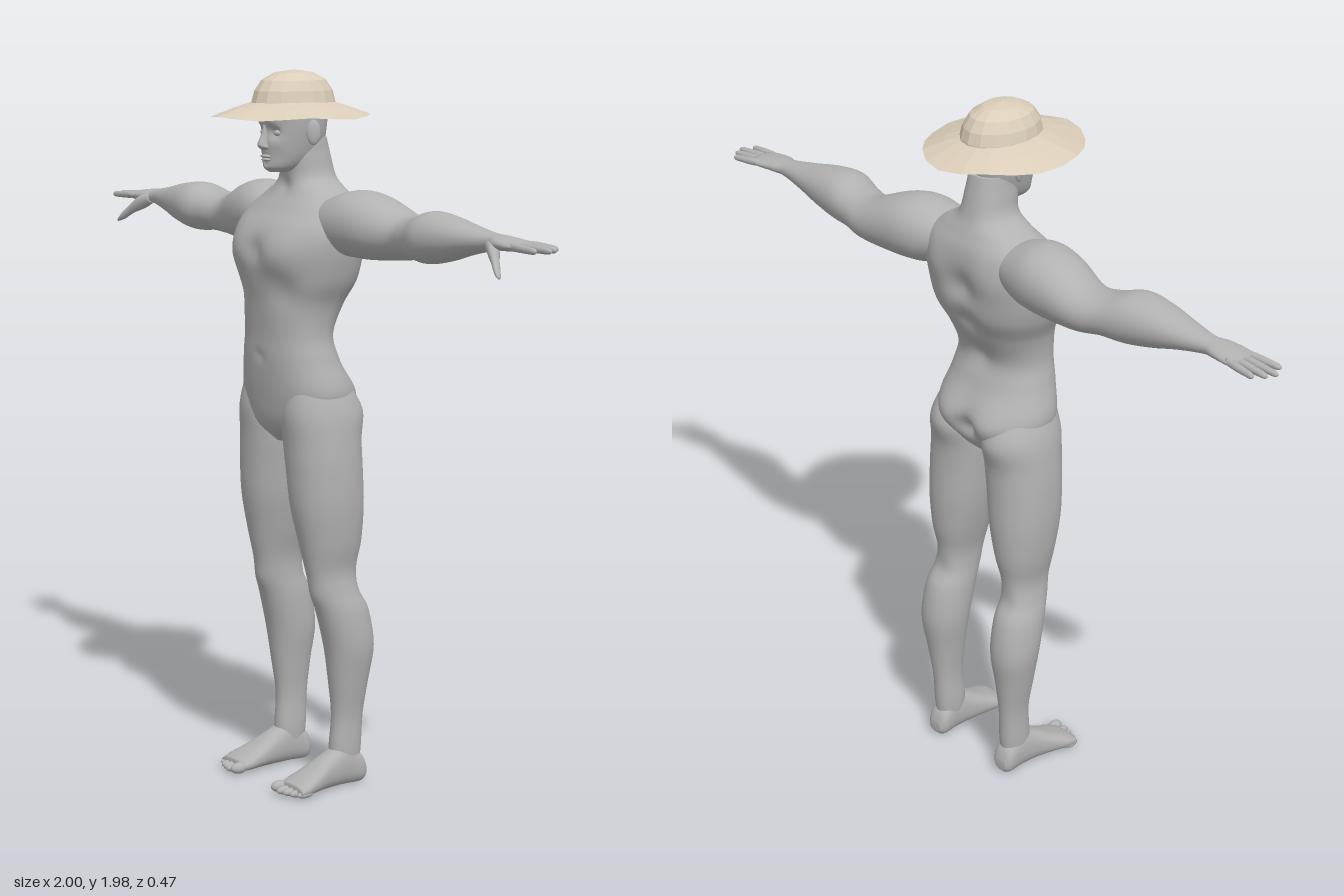
import * as THREE from 'three';

const skin = new THREE.MeshStandardMaterial({ color: 0xb2b2b2 });
skin.name = 'grey skin';
const straw = new THREE.MeshStandardMaterial({ color: 0xdacdb9, side: THREE.DoubleSide, flatShading: true });
straw.name = 'pale straw';

// Where the cross-section directions (a, b) and the running direction t land in x, y, z
const ORDER = { x: (a, b, t) => [t, a, b], y: (a, b, t) => [b, t, a], z: (a, b, t) => [a, b, t] };

const spline = (p0, p1, p2, p3, u) =>
  p1 + 0.5 * u * (p2 - p0 + u * (2 * p0 - 5 * p1 + 4 * p2 - p3 + u * (3 * (p1 - p2) + p3 - p0)));

// Skin through sections [t, a0, a1, b0, b1]; bumps [x, y, z, radius, dz] push the surface along z on both sides
function loft(axis, sections, { seg = 32, steps = 5, power = 2, bumps = [] } = {}) {
  const rows = [];
  const n = sections.length;
  for (let i = 0; i < n - 1; i++) {
    const [p0, p1, p2, p3] = [Math.max(i - 1, 0), i, i + 1, Math.min(i + 2, n - 1)].map((k) => sections[k]);
    for (let s = 0; s < steps; s++) rows.push(p1.map((v, k) => spline(p0[k], v, p2[k], p3[k], s / steps)));
  }
  rows.push(sections[n - 1]);
  const pos = [], index = [];
  const round = (v) => Math.sign(v) * Math.abs(v) ** (2 / power);
  const add = (a, b, t) => {
    const p = ORDER[axis](a, b, t);
    let dz = 0;
    for (const [x, y, z, r, d] of bumps) {
      const q = (Math.abs(p[0]) - x) ** 2 + (p[1] - y) ** 2 + (p[2] - z) ** 2;
      dz += d * Math.exp(-q / (r * r));
    }
    pos.push(p[0], p[1], p[2] + dz);
  };
  for (const [t, a0, a1, b0, b1] of rows) {
    for (let j = 0; j < seg; j++) {
      const w = (j / seg) * Math.PI * 2;
      add((a0 + a1) / 2 + ((a1 - a0) / 2) * round(Math.cos(w)), (b0 + b1) / 2 + ((b1 - b0) / 2) * round(Math.sin(w)), t);
    }
  }
  const last = (rows.length - 1) * seg, c = rows.length * seg;
  for (const [t, a0, a1, b0, b1] of [rows[0], rows[rows.length - 1]]) add((a0 + a1) / 2, (b0 + b1) / 2, t);
  for (let j = 0; j < seg; j++) {
    const k = (j + 1) % seg;
    for (let r = 0; r < last; r += seg) index.push(r + j, r + k, r + seg + j, r + k, r + seg + k, r + seg + j);
    index.push(c, k, j, c + 1, last + j, last + k);
  }
  const g = new THREE.BufferGeometry();
  g.setAttribute('position', new THREE.Float32BufferAttribute(pos, 3));
  g.setIndex(index);
  g.computeVertexNormals();
  return g;
}

function ellipsoid(x, y, z, rx, ry, rz) {
  return new THREE.SphereGeometry(1, 16, 12).scale(rx, ry, rz).translate(x, y, z);
}

function mirrored(geometry) {
  const g = geometry.clone().scale(-1, 1, 1);
  const ix = g.index;
  for (let i = 0; i < ix.count; i += 3) {
    const v = ix.getX(i);
    ix.setX(i, ix.getX(i + 1));
    ix.setX(i + 1, v);
  }
  return g;
}

export function createModel() {
  const model = new THREE.Group();
  model.name = 'figureWithHat';
  const add = (name, geometry, material = skin) => {
    const m = new THREE.Mesh(geometry, material);
    m.name = name;
    model.add(m);
  };
  const pair = (name, geometry) => {
    add('left' + name, geometry);
    add('right' + name, mirrored(geometry));
  };

  // Torso and neck: [y, back, front, half width]
  const torso = [
    [0.97, -0.07, 0.04, 0.03], [1.02, -0.12, 0.08, 0.12], [1.1, -0.145, 0.095, 0.178], [1.2, -0.108, 0.103, 0.158],
    [1.27, -0.092, 0.103, 0.145], [1.35, -0.125, 0.108, 0.155], [1.42, -0.16, 0.115, 0.187], [1.5, -0.17, 0.118, 0.208],
    [1.56, -0.17, 0.1, 0.21], [1.61, -0.165, 0.06, 0.19], [1.65, -0.15, 0.03, 0.135], [1.69, -0.133, 0.018, 0.076],
    [1.75, -0.118, 0.025, 0.062], [1.8, -0.105, 0.03, 0.058],
  ].map(([y, b, f, w]) => [y, b, f, -w, w]);
  add('torso', loft('y', torso, {
    seg: 64, steps: 8, power: 2.3,
    bumps: [
      [0.09, 1.49, 0.11, 0.07, 0.014], [0, 1.5, 0.12, 0.03, -0.01], [0.1, 1.4, 0.1, 0.05, -0.012],
      [0, 1.4, -0.15, 0.04, 0.018], [0, 1.5, -0.17, 0.045, 0.02], [0, 1.28, -0.1, 0.04, 0.012],
      [0.1, 1.55, -0.16, 0.06, -0.01], [0.08, 1.09, -0.14, 0.07, -0.022], [0, 1.07, -0.15, 0.03, 0.03],
      [0, 1.21, 0.1, 0.015, -0.006], [0, 1.67, 0.03, 0.025, -0.01],
    ],
  }));

  // Head with eye sockets, brow, cheeks and chin
  const head = [
    [1.708, 0.0, 0.065, 0.022], [1.722, -0.03, 0.08, 0.04], [1.75, -0.07, 0.082, 0.055], [1.79, -0.098, 0.085, 0.066],
    [1.83, -0.105, 0.086, 0.073], [1.87, -0.106, 0.09, 0.075], [1.92, -0.09, 0.08, 0.068], [1.95, -0.05, 0.045, 0.04],
  ].map(([y, b, f, w]) => [y, b, f, -w, w]);
  add('head', loft('y', head, {
    seg: 56, steps: 7, power: 2.2,
    bumps: [[0.031, 1.815, 0.08, 0.018, -0.014], [0.03, 1.842, 0.085, 0.018, 0.005], [0.045, 1.785, 0.065, 0.02, 0.004],
      [0, 1.731, 0.085, 0.01, -0.005], [0, 1.718, 0.08, 0.015, 0.005]],
  }));
  add('nose', loft('y', [
    [1.768, 0.07, 0.09, -0.008, 0.008], [1.775, 0.07, 0.102, -0.016, 0.016], [1.785, 0.07, 0.106, -0.013, 0.013],
    [1.81, 0.07, 0.095, -0.009, 0.009], [1.835, 0.07, 0.088, -0.008, 0.008],
  ], { seg: 16 }));
  add('upperLip', ellipsoid(0, 1.751, 0.081, 0.023, 0.005, 0.01));
  add('lowerLip', ellipsoid(0, 1.742, 0.08, 0.019, 0.005, 0.01));
  pair('Eye', ellipsoid(0.031, 1.814, 0.062, 0.014, 0.009, 0.012));
  pair('Ear', ellipsoid(0, 0, 0, 0.009, 0.034, 0.02).rotateY(-0.35).translate(0.077, 1.815, -0.022));

  // Arm: shoulder, biceps, forearm, wrist and palm
  pair('Arm', loft('x', [
    [0.1, 1.53, 1.63, -0.14, 0.02], [0.17, 1.495, 1.657, -0.165, 0.028], [0.23, 1.487, 1.668, -0.178, 0.025],
    [0.3, 1.487, 1.655, -0.18, 0.012], [0.4, 1.495, 1.617, -0.175, -0.018], [0.47, 1.503, 1.618, -0.16, -0.008],
    [0.54, 1.5, 1.637, -0.15, 0.01], [0.62, 1.515, 1.63, -0.136, 0.0], [0.7, 1.538, 1.614, -0.12, -0.02],
    [0.78, 1.555, 1.601, -0.105, -0.04], [0.82, 1.56, 1.598, -0.113, -0.03], [0.87, 1.562, 1.592, -0.12, -0.027],
    [0.9, 1.566, 1.587, -0.119, -0.033],
  ], { seg: 36, power: 2.1 }));

  // Fingers: [root z, tip x, tip z]
  const names = ['LittleFinger', 'RingFinger', 'MiddleFinger', 'IndexFinger'];
  [[-0.109, 0.965, -0.122], [-0.087, 0.988, -0.098], [-0.065, 1.0, -0.072], [-0.043, 0.982, -0.038]].forEach(([z0, x1, z1], i) => {
    const rings = [[0, 0.009], [0.35, 0.0105], [0.65, 0.0095], [0.92, 0.008], [1, 0.003]].map(([u, r]) => {
      const x = 0.87 + (x1 - 0.87) * u, z = z0 + (z1 - z0) * u, y = 1.578 - 0.005 * u;
      return [x, y - r, y + r, z - r, z + r];
    });
    pair(names[i], loft('x', rings, { seg: 12, steps: 3 }));
  });
  pair('Thumb', loft('x', [
    [0.79, 1.56, 1.588, -0.07, -0.035], [0.82, 1.54, 1.583, -0.06, -0.018], [0.85, 1.525, 1.556, -0.034, -0.006],
    [0.875, 1.507, 1.53, -0.017, 0.005], [0.892, 1.5, 1.509, -0.004, 0.008],
  ], { seg: 14 }));

  // Leg: thigh, knee, calf and ankle
  pair('Leg', loft('y', [
    [0.03, -0.13, -0.05, 0.105, 0.162], [0.1, -0.14, -0.043, 0.098, 0.168], [0.2, -0.145, -0.05, 0.1, 0.17],
    [0.3, -0.157, -0.04, 0.09, 0.187], [0.4, -0.17, -0.027, 0.076, 0.204], [0.5, -0.155, -0.002, 0.074, 0.2],
    [0.56, -0.13, 0.015, 0.078, 0.187], [0.62, -0.122, 0.03, 0.075, 0.18], [0.7, -0.137, 0.047, 0.054, 0.195],
    [0.8, -0.144, 0.066, 0.031, 0.206], [0.9, -0.142, 0.073, 0.017, 0.207], [0.98, -0.142, 0.077, 0.007, 0.202],
    [1.06, -0.15, 0.083, 0.008, 0.192], [1.14, -0.11, 0.07, 0.03, 0.165],
  ], { seg: 40, power: 2.15, bumps: [[0.13, 0.55, 0.015, 0.035, 0.007], [0.13, 0.56, -0.13, 0.035, 0.008], [0.09, 1.05, -0.145, 0.05, -0.008]] }));

  // Foot and toes
  pair('Foot', loft('z', [
    [-0.153, 0.115, 0.155, 0.015, 0.045], [-0.135, 0.1, 0.168, 0.0, 0.085], [-0.085, 0.1, 0.17, 0.0, 0.12],
    [-0.03, 0.096, 0.175, 0.0, 0.098], [0.03, 0.089, 0.19, 0.0, 0.066], [0.07, 0.085, 0.2, 0.0, 0.047],
    [0.1, 0.09, 0.198, 0.002, 0.032],
  ], { seg: 32, power: 2.4 }));
  [[0.1, 0.108, 0.016], [0.126, 0.108, 0.0115], [0.148, 0.102, 0.011], [0.169, 0.094, 0.0105], [0.189, 0.083, 0.0105]]
    .forEach(([x, z, r], i) => pair('Toe' + (i + 1), ellipsoid(x, r + 0.002, z, r, r, 0.026)));

  // Hat crown
  const crown = [[1, 1.872], [0.99, 1.895], [0.92, 1.925], [0.76, 1.953], [0.45, 1.973], [0, 1.98]]
    .map(([r, y]) => new THREE.Vector2(r, y));
  add('hatCrown', new THREE.LatheGeometry(crown, 16).scale(0.095, 1, 0.124).translate(0, 0, -0.01), straw);

  // Hat brim: sloping ring with a slightly wavy rim and a pointed front
  const rim = [[0.9, 1.898], [1.5, 1.88], [2.15, 1.857]].map(([r, y]) => new THREE.Vector2(r, y));
  const brim = new THREE.LatheGeometry(rim, 20);
  const p = brim.attributes.position;
  for (let i = 0; i < p.count; i++) {
    const x = p.getX(i), z = p.getZ(i), r = Math.hypot(x, z), w = Math.atan2(x, z);
    const out = (r - 0.9) / 1.25;
    const wave = 1 + 0.025 * out * Math.cos(4 * w);
    const depth = 0.115 - 0.008 * out;
    p.setXYZ(i, x * 0.095 * wave, p.getY(i) + 0.004 * out * Math.cos(5 * w), z * depth * wave - 0.006 * (1 - out));
  }
  brim.computeVertexNormals();
  add('hatBrim', brim, straw);

  return model;
}
